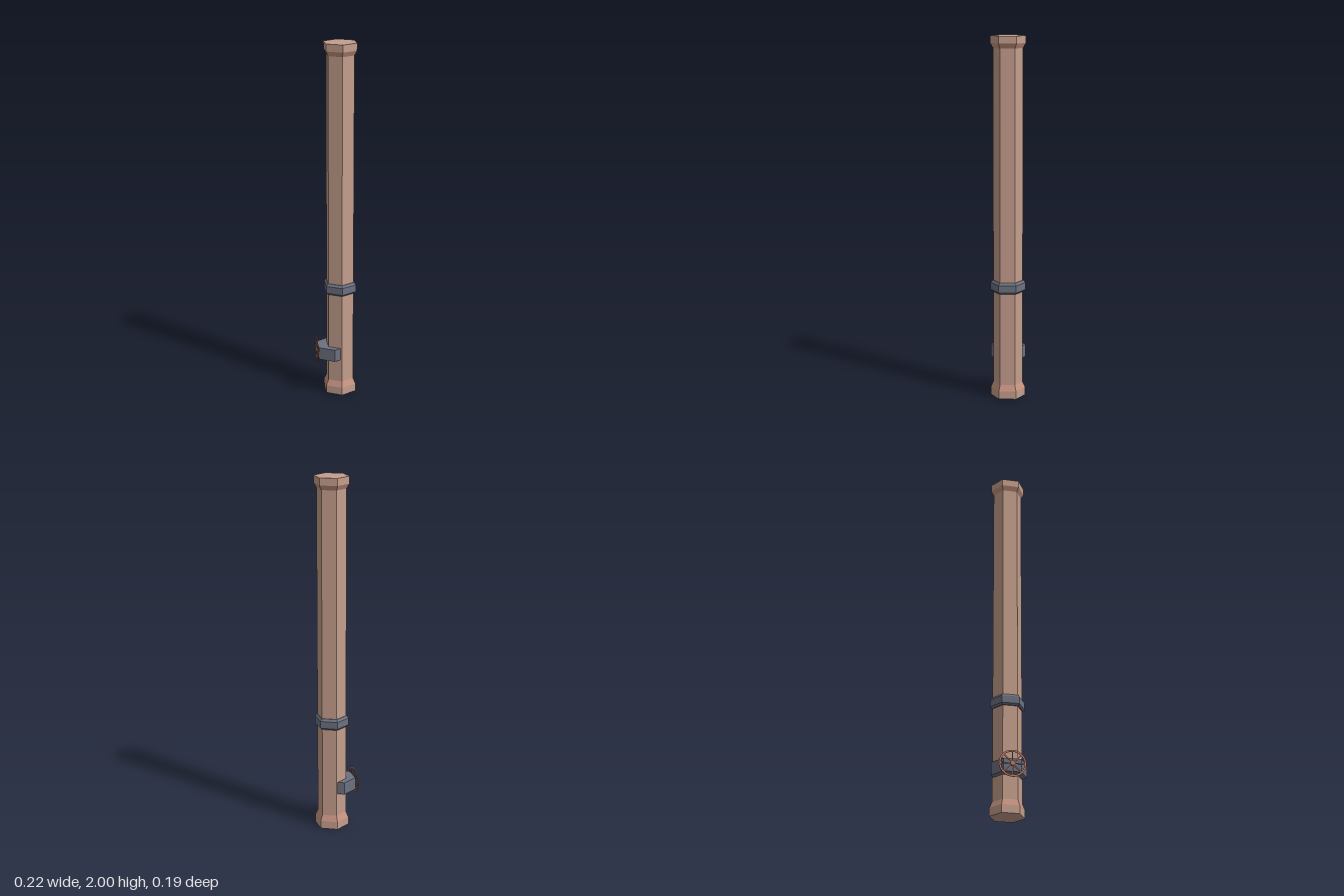
import * as THREE from 'three';

const mat = (color) => new THREE.MeshStandardMaterial({ color, flatShading: true });
const clay = mat(0xc49e8c);
const flareClay = mat(0xc69280);
const steel = mat(0x6c7180);
const copper = mat(0xbd7c68);

function add(parent, name, geometry, material) {
  const mesh = new THREE.Mesh(geometry, material);
  mesh.name = name;
  parent.add(mesh);
  return mesh;
}

// Hexagonal section between two heights, with corners pointing along z
function hexSection(parent, name, y0, y1, r0, r1, material, x, open = false) {
  const mesh = add(parent, name, new THREE.CylinderGeometry(r1, r0, y1 - y0, 6, 1, open), material);
  mesh.position.set(x, (y0 + y1) / 2, -0.001);
  return mesh;
}

function createHandwheel() {
  const wheel = new THREE.Group();
  wheel.name = 'handwheel';

  // Flat rim
  const rim = new THREE.Shape().absarc(0, 0, 0.073, 0, Math.PI * 2, false);
  rim.holes.push(new THREE.Path().absarc(0, 0, 0.063, 0, Math.PI * 2, true));
  const rimGeometry = new THREE.ExtrudeGeometry(rim, { depth: 0.004, bevelEnabled: false, curveSegments: 20 });
  rimGeometry.translate(0, 0, -0.002);
  add(wheel, 'rim', rimGeometry, copper);

  // Spokes
  for (let i = 0; i < 8; i++) {
    const spoke = new THREE.BoxGeometry(0.058, 0.006, 0.003);
    spoke.translate(0.037, 0, 0);
    spoke.rotateZ((i * Math.PI) / 4);
    add(wheel, 'spoke', spoke, copper);
  }

  // Hub
  const hub = new THREE.CylinderGeometry(0.0135, 0.0135, 0.014, 8);
  hub.rotateX(Math.PI / 2);
  add(wheel, 'hub', hub, copper);

  wheel.rotation.y = -Math.PI / 2;
  wheel.position.set(-0.105, 0.252, -0.0025);
  return wheel;
}

export function createModel() {
  const model = new THREE.Group();
  model.name = 'pipeWithValve';
  const x = 0.027, shaft = 0.081, wide = 0.096;

  // Pipe with flared ends
  hexSection(model, 'bottomEnd', 0, 0.045, wide, wide, clay, x);
  hexSection(model, 'bottomFlare', 0.045, 0.078, wide, shaft, flareClay, x, true);
  hexSection(model, 'shaft', 0.078, 1.934, shaft, shaft, clay, x, true);
  hexSection(model, 'topFlare', 1.934, 1.96, shaft, wide, flareClay, x, true);
  hexSection(model, 'topEnd', 1.96, 2, wide, wide, clay, x);

  // Joint collar with bevelled edges
  hexSection(model, 'collarLower', 0.598, 0.608, 0.087, wide, steel, x);
  hexSection(model, 'collar', 0.608, 0.648, wide, wide, steel, x, true);
  hexSection(model, 'collarUpper', 0.648, 0.661, wide, 0.085, steel, x);

  // Valve housing and its wheel
  hexSection(model, 'valveHousing', 0.21, 0.281, wide, wide, steel, -0.015);
  model.add(createHandwheel());
  return model;
}
